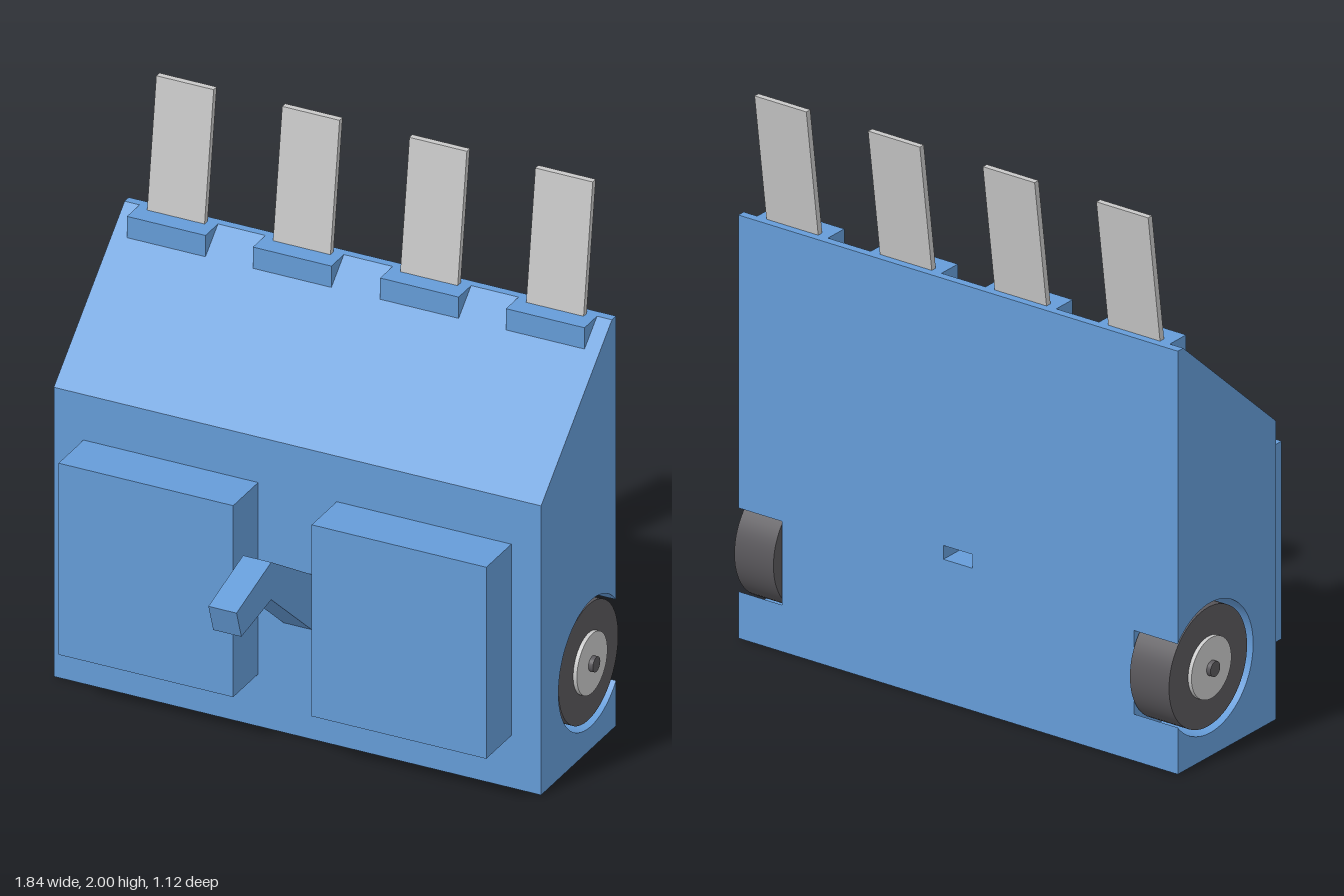
import * as THREE from 'three';

function mat(name, color) {
  const m = new THREE.MeshStandardMaterial({ color });
  m.name = name;
  return m;
}

export function createModel() {
  const root = new THREE.Group();
  root.name = 'wedgeRobot';
  const blue = mat('blue', 0x659cd8);
  const dark = mat('darkGrey', 0x5a585c);
  const light = mat('lightGrey', 0xc8c8c8);

  const add = (name, geometry, material, parent = root) => {
    const mesh = new THREE.Mesh(geometry, material);
    mesh.name = name;
    parent.add(mesh);
    return mesh;
  };
  const box = (name, x0, x1, y0, y1, z0, z1, material) =>
    add(name, new THREE.BoxGeometry(x1 - x0, y1 - y0, z1 - z0), material)
      .position.set((x0 + x1) / 2, (y0 + y1) / 2, (z0 + z1) / 2);
  // Extrude a side profile drawn in (z, y) from x0 to x1
  const slab = (name, shape, x0, x1, material) => {
    const g = new THREE.ExtrudeGeometry(shape, { depth: x1 - x0, bevelEnabled: false, curveSegments: 64 });
    g.rotateY(-Math.PI / 2).translate(x1, 0, 0);
    return add(name, g, material);
  };
  const polygon = (points) => new THREE.Shape(points.map(([z, y]) => new THREE.Vector2(z, y)));

  // Body: wedge-topped sections, with a rear slot in the middle and wheel wells at the sides
  const wedge = [[-0.52, 0], [0.02, 0], [0.02, 1.08], [-0.49, 1.53], [-0.52, 1.53]];
  const wheelZ = -0.34, wheelY = 0.32, wellR = 0.235;
  const slotted = polygon([...wedge, [-0.52, 0.565], [-0.4, 0.565], [-0.4, 0.515], [-0.52, 0.515]]);
  slab('bodySlotSection', slotted, -0.06, 0.06, blue);

  const a = Math.acos((0.52 + wheelZ) / wellR);
  const welled = polygon(wedge);
  const open = Math.acos((-0.52 - wheelZ) / wellR);
  welled.lineTo(-0.52, wheelY + wellR * Math.sin(a));
  welled.absarc(wheelZ, wheelY, wellR, open, -open, true);

  for (const s of [-1, 1]) {
    const span = (p, q) => (s > 0 ? [p, q] : [-q, -p]);
    slab('bodyCore', polygon(wedge), ...span(0.06, 0.72), blue);
    slab('bodyWheelWell', welled, ...span(0.72, 0.9), blue);

    // Front blocks
    box('frontBlock', ...span(0.145, 0.79), 0.195, 0.91, 0.02, 0.2, blue);

    // Wheel: tyre, hub and axle
    const wheel = new THREE.Group();
    wheel.name = s > 0 ? 'leftWheel' : 'rightWheel';
    wheel.position.set(0, wheelY, wheelZ);
    root.add(wheel);
    const disc = (name, r, x0, x1, material) => {
      const g = new THREE.CylinderGeometry(r, r, x1 - x0, 64);
      g.rotateZ(Math.PI / 2).translate(s * (x0 + x1) / 2, 0, 0);
      add(name, g, material, wheel);
    };
    disc('tyre', 0.215, 0.73, 0.89, dark);
    disc('hub', 0.11, 0.85, 0.904, light);
    disc('axle', 0.027, 0.7, 0.92, dark);

    // Ridge brackets and the slats that lean back from them
    const slat = polygon([[-0.465, 1.5], [-0.487, 1.5], [-0.557, 2], [-0.535, 2]].reverse());
    for (const x of [0.235, 0.7]) {
      box('bracket', ...span(x - 0.145, x + 0.145), 1.45, 1.53, -0.5, -0.4, blue);
      slab('slat', slat, ...span(x - 0.106, x + 0.106), light);
    }
  }

  // Bent arm at the front
  slab('arm', polygon([
    [-0.02, 0.375], [0.31, 0.66], [0.525, 0.625], [0.56, 0.73], [0.31, 0.8], [-0.02, 0.59],
  ]), -0.052, 0.052, blue);

  return root;
}
